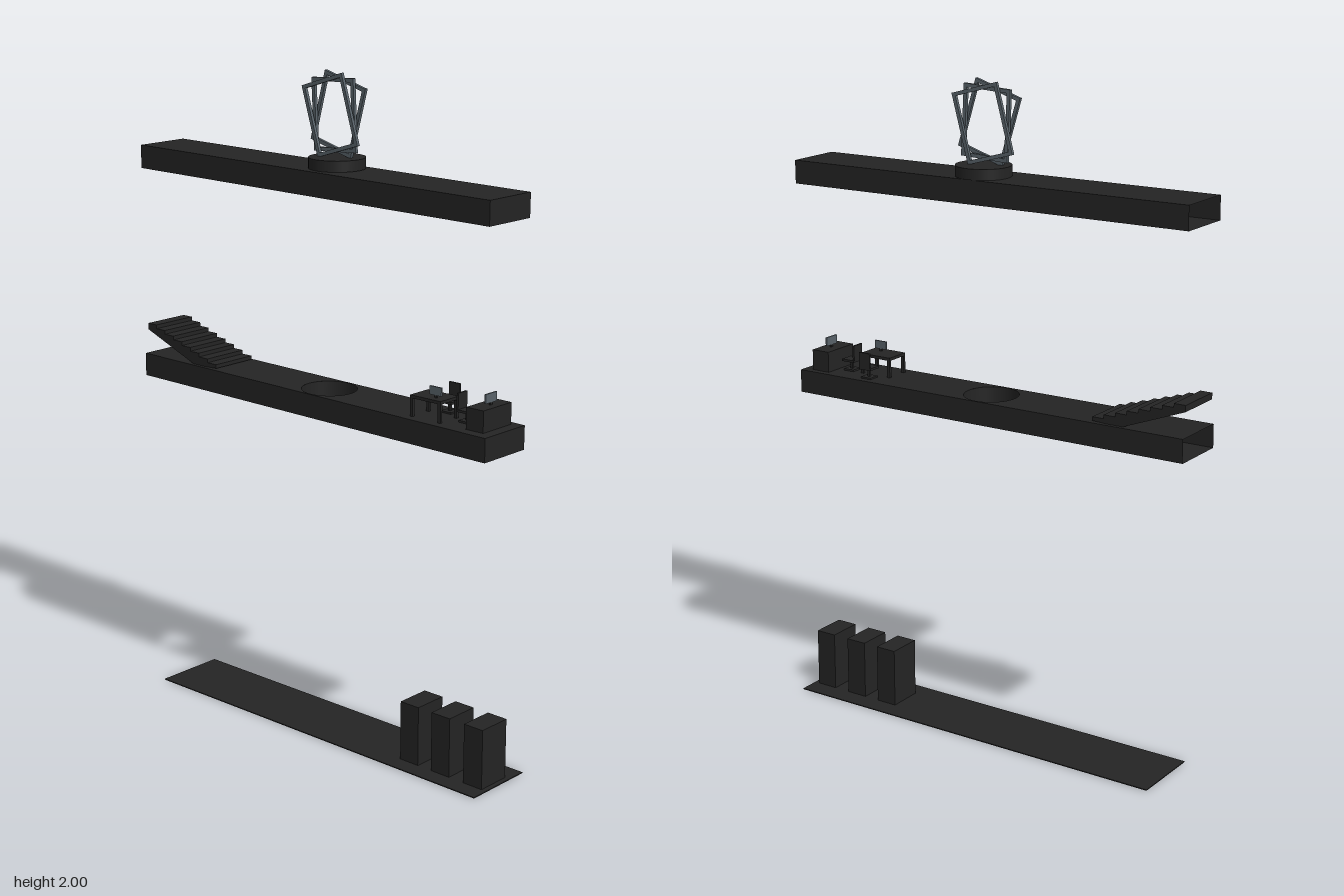
import * as THREE from 'three';

const charcoal = new THREE.MeshStandardMaterial({ color: 0x242424, side: THREE.DoubleSide });
charcoal.name = 'charcoal';
const steel = new THREE.MeshStandardMaterial({ color: 0x59636a });
steel.name = 'steel grey';

const CX = -0.0085; // shared centre line of the decks
const DECK = { w: 0.177, h: 0.071, l: 1.353 };
const HOLE = { x: 0, z: 0.022, r: 0.083 };

function add(parent, name, geometry, x = 0, y = 0, z = 0, material = charcoal) {
  const mesh = new THREE.Mesh(geometry, material);
  mesh.name = name;
  mesh.position.set(x, y, z);
  parent.add(mesh);
  return mesh;
}

// Box given by its minimum and maximum on each axis
function span(parent, name, x0, x1, y0, y1, z0, z1, material) {
  return add(parent, name, new THREE.BoxGeometry(x1 - x0, y1 - y0, z1 - z0),
    (x0 + x1) / 2, (y0 + y1) / 2, (z0 + z1) / 2, material);
}

// Flat horizontal slab face, optionally pierced by the round opening
function slab(pierced) {
  const { w, l } = DECK;
  const s = new THREE.Shape([[-1, -1], [1, -1], [1, 1], [-1, 1]]
    .map(([a, b]) => new THREE.Vector2(a * w / 2, b * l / 2)));
  if (pierced) s.holes.push(new THREE.Path().absarc(HOLE.x, -HOLE.z, HOLE.r, 0, Math.PI * 2, true));
  return new THREE.ShapeGeometry(s, 24).rotateX(-Math.PI / 2);
}

// Hollow deck, closed at the front and open at the back, with a round shaft
function deck(name, y, openTop) {
  const g = new THREE.Group();
  g.name = name;
  const { w, h, l } = DECK;
  add(g, 'deckTop', slab(openTop), 0, h / 2, 0);
  add(g, 'deckUnderside', slab(true), 0, -h / 2, 0);
  for (const s of [-1, 1]) {
    add(g, 'deckSide', new THREE.PlaneGeometry(l, h).rotateY(s * Math.PI / 2), s * w / 2, 0, 0);
  }
  add(g, 'deckFront', new THREE.PlaneGeometry(w, h), 0, 0, l / 2);
  add(g, 'shaft', new THREE.CylinderGeometry(HOLE.r, HOLE.r, h, 40, 1, true), HOLE.x, 0, HOLE.z);
  g.position.set(CX, y, 0);
  g.rotation.x = 0.008;
  return g;
}

// Chair facing +z with its foot at the origin
function chair() {
  const g = new THREE.Group();
  g.name = 'chair';
  span(g, 'chairFoot', -0.018, 0.018, 0, 0.006, -0.018, 0.018);
  span(g, 'chairStem', -0.004, 0.004, 0, 0.034, -0.004, 0.004);
  span(g, 'chairSeat', -0.022, 0.022, 0.03, 0.037, -0.022, 0.022);
  span(g, 'chairBack', -0.02, 0.02, 0.037, 0.084, -0.024, -0.018);
  return g;
}

// Upright rectangular frame in the y-z plane
function frame(x, angle) {
  const w = 0.08, h = 0.105, t = 0.011;
  const outline = (a, b) => [[-a, -b], [a, -b], [a, b], [-a, b]].map(([u, v]) => new THREE.Vector2(u, v));
  const s = new THREE.Shape(outline(w, h));
  s.holes.push(new THREE.Path(outline(w - t, h - t)));
  const geo = new THREE.ExtrudeGeometry(s, { depth: 0.01, bevelEnabled: false });
  geo.translate(0, 0, -0.005).rotateY(Math.PI / 2);
  const mesh = add(new THREE.Group(), 'tiltedFrame', geo, x, 1.879, 0.036, steel);
  mesh.rotation.x = angle;
  return mesh;
}

export function createModel() {
  const model = new THREE.Group();
  model.name = 'threeLevelStructure';

  // Ground level: thin plate and three slabs
  span(model, 'groundPlate', -0.114, 0.112, 0, 0.003, -0.604, 0.677);
  for (const z of [0.627, 0.506, 0.388]) {
    span(model, 'tower', -0.06, 0.05, 0.003, 0.187, z - 0.034, z + 0.034);
  }

  // Two hollow decks
  model.add(deck('middleDeck', 1.036, true), deck('upperDeck', 1.691, false));

  // Staircase with a sloping underside
  const n = 8, z0 = 0.375, run = 0.0375, y0 = 1.077, rise = 0.0118;
  const stair = new THREE.Shape();
  stair.moveTo(z0, y0);
  for (let i = 0; i < n; i++) {
    stair.lineTo(z0 + i * run, y0 + (i + 1) * rise);
    stair.lineTo(z0 + (i + 1) * run, y0 + (i + 1) * rise);
  }
  stair.lineTo(z0 + n * run, 1.152);
  stair.lineTo(0.47, y0 - 0.004);
  const stairGeo = new THREE.ExtrudeGeometry(stair, { depth: 0.153, bevelEnabled: false });
  add(model, 'staircase', stairGeo.rotateY(Math.PI / 2), -0.085, 0, 0);

  // Reception counter with screen and chair
  const floor = 1.067;
  span(model, 'counter', -0.065, 0.06, floor, 1.131, 0.583, 0.644);
  span(model, 'counterScreen', -0.025, 0.025, 1.138, 1.165, 0.615, 0.62, steel);
  span(model, 'screenStand', -0.004, 0.004, 1.131, 1.14, 0.615, 0.62);
  const chairA = chair();
  chairA.position.set(-0.005, floor, 0.541);
  model.add(chairA);

  // Side desk with legs, screen and chair
  span(model, 'deskTop', -0.07, 0.01, 1.122, 1.131, 0.385, 0.496);
  for (const x of [-0.066, 0.006]) {
    for (const z of [0.39, 0.491]) {
      span(model, 'deskLeg', x - 0.004, x + 0.004, floor, 1.122, z - 0.005, z + 0.005);
    }
  }
  span(model, 'deskScreen', -0.048, -0.043, 1.138, 1.163, 0.438, 0.48, steel);
  span(model, 'screenStand', -0.048, -0.043, 1.131, 1.14, 0.455, 0.463);
  const chairB = chair();
  chairB.position.set(0.04, floor, 0.441);
  chairB.rotation.y = -Math.PI / 2;
  model.add(chairB);

  // Round plinth carrying three frames
  add(model, 'plinth', new THREE.CylinderGeometry(0.083, 0.083, 0.032, 40), 0.002, 1.743, 0.042);
  [[-0.02, -0.3], [-0.003, -0.05], [0.015, 0.27]].forEach(([x, a]) => model.add(frame(x, a)));

  return model;
}
